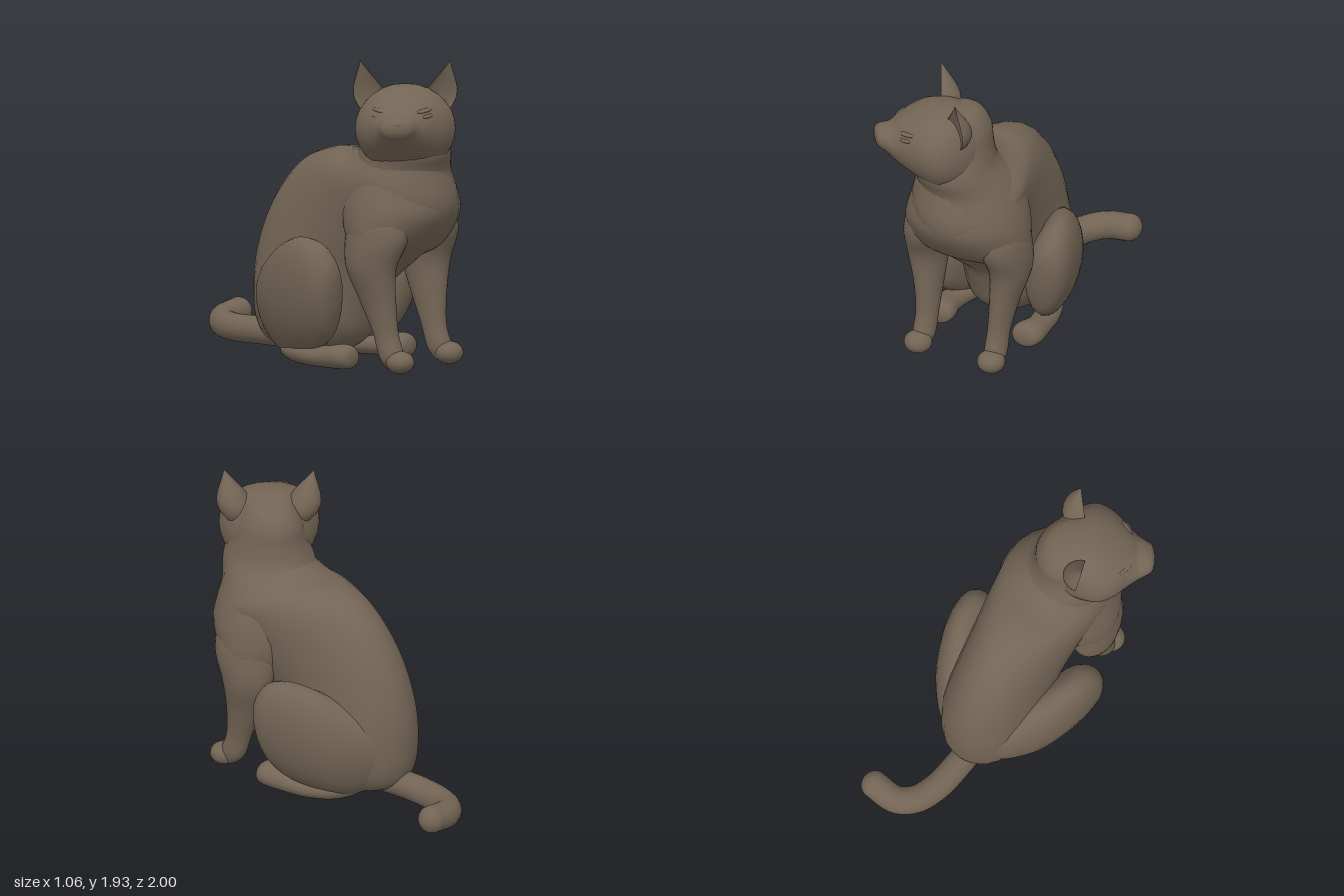
import * as THREE from 'three';

const fur = new THREE.MeshStandardMaterial({ color: 0x736555 });
fur.name = 'brown fur';

function part(name, geometry, parent) {
  const mesh = new THREE.Mesh(geometry, fur);
  mesh.name = name;
  parent.add(mesh);
  return mesh;
}

// Smooth skin over oval rings: [zTop, yTop, zBottom, yBottom, centreX, halfWidth]
// A power below 1 makes the ovals boxier.
function loft(rings, side = 1, power = 1) {
  const steps = 5, around = 28;
  const curve = f => new THREE.CatmullRomCurve3(rings.map(f), false, 'catmullrom', 0.5);
  const top = curve(r => new THREE.Vector3(r[4] * side, r[1], r[0]));
  const bottom = curve(r => new THREE.Vector3(r[4] * side, r[3], r[2]));
  const width = curve(r => new THREE.Vector3(r[5], 0, 0));
  const n = (rings.length - 1) * steps;
  const pos = [], index = [], centres = [];
  for (let i = 0; i <= n; i++) {
    const a = top.getPoint(i / n), b = bottom.getPoint(i / n), w = width.getPoint(i / n).x;
    const c = a.clone().add(b).multiplyScalar(0.5), v = a.clone().sub(c);
    centres.push(c);
    for (let j = 0; j < around; j++) {
      const t = j / around * Math.PI * 2, s = Math.sin(t);
      pos.push(c.x + Math.sign(s) * Math.abs(s) ** power * w, c.y + v.y * Math.cos(t), c.z + v.z * Math.cos(t));
    }
  }
  for (let i = 0; i < n; i++) for (let j = 0; j < around; j++) {
    const k = (j + 1) % around, p = i * around, q = p + around;
    index.push(p + j, q + j, p + k, p + k, q + j, q + k);
  }
  // End caps
  const first = pos.length / 3;
  pos.push(...centres[0].toArray(), ...centres[n].toArray());
  for (let j = 0; j < around; j++) {
    const k = (j + 1) % around;
    index.push(first, j, k, first + 1, n * around + k, n * around + j);
  }
  // Turn the skin outward if the rings run the other way
  const P = i => new THREE.Vector3().fromArray(pos, i * 3);
  let volume = 0;
  for (let i = 0; i < index.length; i += 3)
    volume += P(index[i]).dot(P(index[i + 1]).cross(P(index[i + 2])));
  if (volume < 0) index.reverse();
  const g = new THREE.BufferGeometry();
  g.setAttribute('position', new THREE.Float32BufferAttribute(pos, 3));
  g.setIndex(index);
  g.computeVertexNormals();
  return g;
}

function ball(name, parent, [x, y, z], [rx, ry, rz]) {
  const g = new THREE.SphereGeometry(1, 24, 16).scale(rx, ry, rz);
  const mesh = part(name, g, parent);
  mesh.position.set(x, y, z);
  return mesh;
}

// Rounded cone with its front pushed in to make a hollow, leaning outward
function earGeometry(side) {
  const g = new THREE.ConeGeometry(0.13, 0.34, 24, 12);
  const p = g.attributes.position;
  for (let i = 0; i < p.count; i++) {
    const h = (p.getY(i) + 0.17) / 0.34;
    const bulge = 0.5 + Math.sin(h * Math.PI * 0.8);
    const z = p.getZ(i);
    p.setX(i, p.getX(i) * bulge + side * 0.085 * h);
    p.setZ(i, (z > 0 ? -0.25 * z : z) * bulge + 0.04 * h);
  }
  g.computeVertexNormals();
  return g;
}

export function createModel() {
  const cat = new THREE.Group();
  cat.name = 'sittingCat';

  part('torso', loft([
    [0.44, 1.50, 0.84, 1.44, -0.05, 0.20],
    [0.37, 1.40, 0.89, 1.25, -0.035, 0.255],
    [0.24, 1.345, 0.93, 1.02, 0, 0.34],
    [0.08, 1.335, 0.84, 0.84, 0, 0.335],
    [-0.12, 1.26, 0.66, 0.67, 0, 0.305],
    [-0.30, 1.08, 0.46, 0.50, 0, 0.29],
    [-0.42, 0.86, 0.38, 0.34, 0, 0.295],
    [-0.49, 0.60, 0.30, 0.17, 0, 0.30],
    [-0.50, 0.35, 0.12, 0.06, 0, 0.26],
    [-0.47, 0.20, -0.15, 0.04, 0, 0.17],
    [-0.42, 0.12, -0.30, 0.06, 0, 0.06],
  ]), cat);

  // Neck flowing from the crown down into the shoulders
  part('neckAndChest', loft([
    [0.73, 1.765, 0.58, 1.765, -0.04, 0.05],
    [0.77, 1.73, 0.47, 1.73, -0.03, 0.13],
    [0.83, 1.63, 0.405, 1.63, -0.03, 0.187],
    [0.88, 1.49, 0.39, 1.51, -0.04, 0.22],
    [0.93, 1.37, 0.355, 1.40, -0.05, 0.262],
    [0.89, 1.24, 0.29, 1.29, -0.01, 0.30],
    [0.91, 1.11, 0.23, 1.15, 0, 0.355],
    [0.92, 0.98, 0.22, 0.99, 0, 0.395],
    [0.84, 0.84, 0.27, 0.84, 0, 0.405],
    [0.74, 0.74, 0.36, 0.73, 0, 0.36],
    [0.62, 0.68, 0.45, 0.66, 0, 0.22],
  ]), cat);

  const thighLean = new THREE.Matrix4();
  for (const side of [1, -1]) {
    const s = side > 0 ? 'left' : 'right';
    // Foreleg, from shoulder to ankle
    part(s + 'FrontLeg', loft([
      [0.70, 1.10, 0.48, 1.10, 0.20, 0.07],
      [0.78, 0.98, 0.38, 0.98, 0.225, 0.15],
      [0.79, 0.83, 0.36, 0.83, 0.26, 0.152],
      [0.72, 0.65, 0.38, 0.65, 0.285, 0.125],
      [0.71, 0.45, 0.46, 0.45, 0.265, 0.09],
      [0.72, 0.25, 0.55, 0.25, 0.25, 0.07],
      [0.76, 0.12, 0.60, 0.10, 0.25, 0.07],
      [0.77, 0.04, 0.66, 0.03, 0.25, 0.05],
    ], side), cat);
    ball(s + 'FrontPaw', cat, [0.255 * side, 0.075, 0.75], [0.088, 0.07, 0.088]);

    // Thigh, leaning outward at the top
    thighLean.makeShear(0, 0, 0.13 * side, 0, 0, 0);
    part(s + 'Thigh', loft([
      [0.375, 0.60, 0.37, 0.48, 0.33, 0.03],
      [0.35, 0.69, 0.345, 0.35, 0.33, 0.09],
      [0.27, 0.785, 0.29, 0.21, 0.32, 0.138],
      [0.13, 0.82, 0.18, 0.12, 0.30, 0.155],
      [-0.03, 0.78, 0.02, 0.07, 0.25, 0.17],
      [-0.20, 0.68, -0.16, 0.05, 0.175, 0.17],
      [-0.36, 0.55, -0.32, 0.12, 0.08, 0.135],
      [-0.44, 0.42, -0.41, 0.24, 0.02, 0.06],
    ], side).applyMatrix4(thighLean), cat);

    // Long hind foot flat on the ground
    part(s + 'HindFoot', loft([
      [0.43, 0.10, 0.43, 0.05, 0.30, 0.03],
      [0.41, 0.14, 0.41, 0.015, 0.30, 0.08],
      [0.35, 0.16, 0.35, 0.005, 0.305, 0.10],
      [0.22, 0.14, 0.22, 0.005, 0.31, 0.08],
      [0.05, 0.13, 0.05, 0.005, 0.28, 0.085],
      [-0.12, 0.14, -0.12, 0.02, 0.21, 0.09],
      [-0.24, 0.14, -0.24, 0.07, 0.14, 0.03],
    ], side), cat);
  }

  // Tail curls to the left behind the body
  const tailPath = new THREE.CatmullRomCurve3([
    [0, 0.13, -0.22], [0, 0.133, -0.50], [0.02, 0.13, -0.69], [0.075, 0.135, -0.83],
    [0.17, 0.15, -0.91], [0.33, 0.175, -0.915],
  ].map(p => new THREE.Vector3(...p)));
  part('tail', new THREE.TubeGeometry(tailPath, 36, 0.087, 20), cat);
  ball('tailTip', cat, [0.33, 0.175, -0.915], [0.08, 0.087, 0.087]);

  // Head, turned to the right, with the muzzle turned a little further
  const head = new THREE.Group();
  head.name = 'head';
  head.position.set(-0.08, 0, 0.66);
  head.rotation.y = -0.927;
  cat.add(head);
  part('skull', loft([
    [-0.18, 1.66, -0.18, 1.45, 0, 0.09],
    [-0.13, 1.74, -0.15, 1.32, 0, 0.19],
    [-0.03, 1.78, -0.05, 1.24, 0, 0.265],
    [0.10, 1.78, 0.10, 1.26, 0, 0.31],
    [0.21, 1.74, 0.20, 1.32, -0.01, 0.275],
    [0.30, 1.69, 0.28, 1.37, -0.025, 0.20],
    [0.36, 1.645, 0.35, 1.425, -0.04, 0.145],
    [0.41, 1.635, 0.40, 1.475, -0.052, 0.115],
    [0.45, 1.615, 0.44, 1.505, -0.055, 0.088],
    [0.465, 1.575, 0.46, 1.535, -0.055, 0.04],
  ], 1, 0.85), head);
  ball('nose', head, [-0.055, 1.59, 0.449], [0.032, 0.02, 0.016]);

  for (const side of [1, -1]) {
    const s = side > 0 ? 'left' : 'right';
    const ear = part(s + 'Ear', earGeometry(side), head);
    ear.position.set(0.185 * side, 1.76, 0);
    ear.rotation.y = 0.3 * side;
    // Brow ridge above a narrow almond eye
    const brow = ball(s + 'Brow', head, [0.13 * side - 0.02, 1.655, 0.275], [0.07, 0.014, 0.03]);
    const eye = ball(s + 'Eye', head, [0.145 * side - 0.02, 1.622, 0.285], [0.055, 0.014, 0.03]);
    brow.rotation.y = eye.rotation.y = 0.75 * side;
    brow.rotation.z = eye.rotation.z = 0.12 * side;
  }
  return cat;
}
